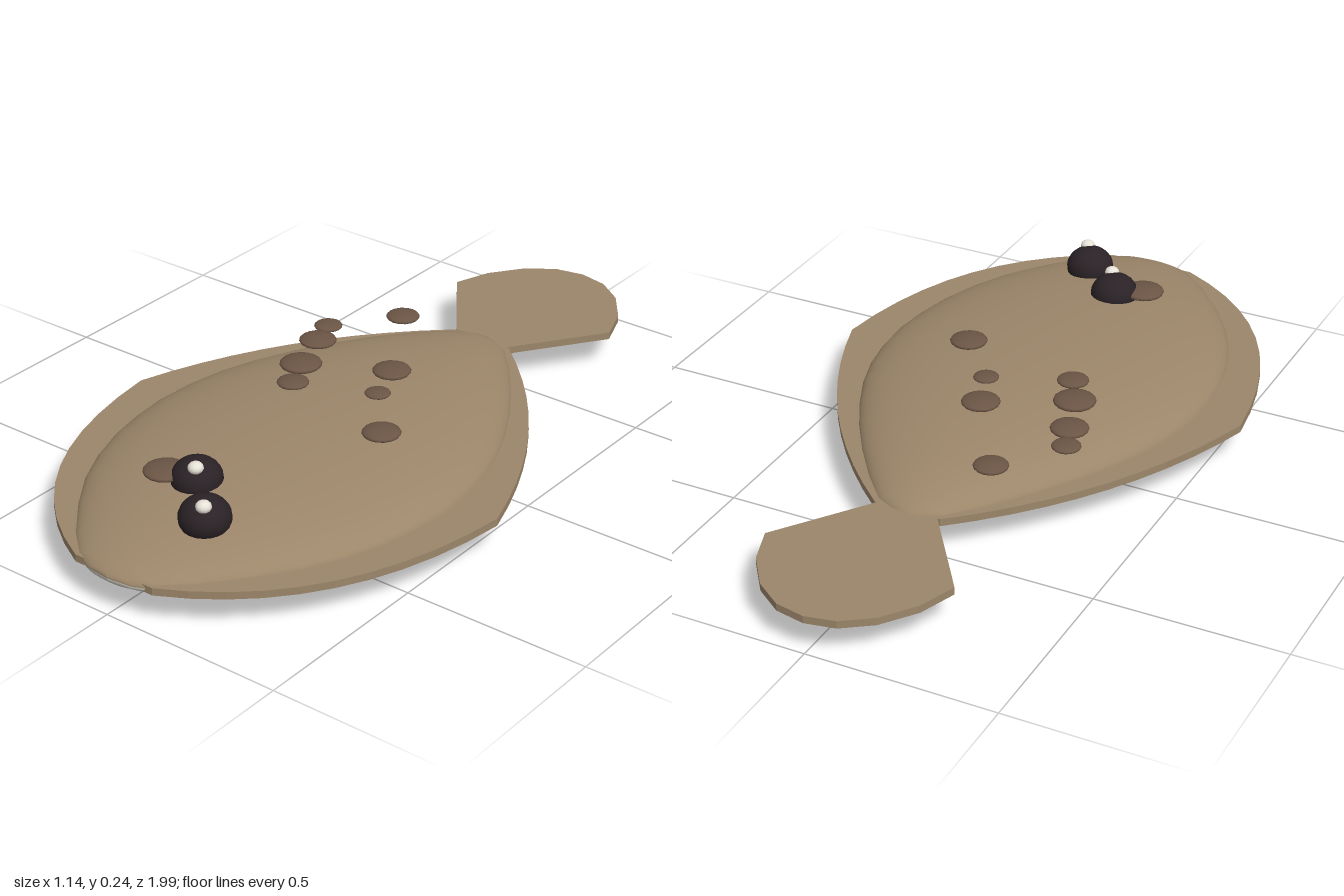
import * as THREE from 'three';

const mat = (name, color) => {
  const m = new THREE.MeshStandardMaterial({ color });
  m.name = name;
  return m;
};

// Half widths of the body along z, tail end to nose
const SECTIONS = [
  [-0.52, 0], [-0.505, 0.05], [-0.48, 0.095], [-0.4, 0.165], [-0.3, 0.24], [-0.2, 0.305],
  [-0.1, 0.36], [0, 0.405], [0.1, 0.437], [0.2, 0.455], [0.3, 0.46], [0.4, 0.45],
  [0.5, 0.43], [0.6, 0.395], [0.7, 0.345], [0.8, 0.275], [0.9, 0.19], [0.96, 0.125], [0.985, 0.07], [0.993, 0],
];

// Half of a lens-shaped shell, swept through elliptical cross-sections
function shell(startAngle) {
  const n = 28, pos = [], idx = [];
  SECTIONS.forEach(([z, w], j) => {
    const u = (z - 0.237) / 0.757;
    const h = 0.096 * Math.sqrt(Math.max(0, 1 - u * u));
    for (let i = 0; i <= n; i++) {
      const a = startAngle + Math.PI * i / n;
      pos.push(w * Math.cos(a), 0.1 + h * Math.sin(a), z);
      if (j && i) {
        const d = j * (n + 1) + i, b = d - n - 1;
        idx.push(b - 1, b, d - 1, b, d, d - 1);
      }
    }
  });
  const g = new THREE.BufferGeometry();
  g.setAttribute('position', new THREE.Float32BufferAttribute(pos, 3));
  g.setIndex(idx);
  g.computeVertexNormals();
  return g;
}

// Flat horizontal plate from an outline drawn in x and z
function plate(points) {
  const g = new THREE.ExtrudeGeometry(new THREE.Shape(points), { depth: 0.02, bevelEnabled: false });
  return g.rotateX(Math.PI / 2).translate(0, 0.11, 0);
}

const v = (x, z) => new THREE.Vector2(x, z);
const mirrored = (pts) => [...pts, ...pts.slice().reverse().filter(p => p.x > 0).map(p => v(-p.x, p.y))];

export function createModel() {
  const model = new THREE.Group();
  const skin = mat('sandy brown', 0x9c866a);
  const belly = mat('pale belly', 0xd6d4ca);
  const spot = mat('dark brown spots', 0x6b5545);
  const eye = mat('dark eye', 0x2a2226);
  const shine = mat('eye shine', 0xe8e4da);
  const add = (name, geo, material, x = 0, y = 0, z = 0) => {
    const m = new THREE.Mesh(geo, material);
    m.name = name;
    m.position.set(x, y, z);
    model.add(m);
    return m;
  };

  // Domed back and pale underside
  add('back', shell(0), skin);
  add('belly', shell(Math.PI), belly);

  // Fin skirt around the body
  const rear = new THREE.QuadraticBezierCurve(v(0.09, -0.5), v(0.44, -0.2), v(0.572, 0.24));
  const fore = new THREE.QuadraticBezierCurve(v(0.572, 0.24), v(0.52, 0.78), v(0.12, 0.972));
  add('finSkirt', plate(mirrored([...rear.getPoints(10), ...fore.getPoints(10).slice(1)])), skin);

  // Tail fan
  add('tailFin', plate(mirrored([
    v(0, -1), v(0.08, -0.984), v(0.155, -0.931), v(0.22, -0.843), v(0.256, -0.742), v(0.08, -0.495),
  ])), skin);

  // Spots scattered over the back
  [[-0.15, -0.345, 0.045], [-0.275, -0.18, 0.038], [-0.245, -0.098, 0.05], [0.013, -0.08, 0.051],
    [-0.198, 0.032, 0.056], [0.058, 0.039, 0.034], [-0.15, 0.124, 0.042], [0.188, 0.194, 0.05],
    [-0.112, 0.658, 0.056]].forEach(([x, z, r]) => {
    add('spot', new THREE.SphereGeometry(r, 16, 10), spot, x, 0.195, z).scale.y = 0.25;
  });

  // Both eyes sit on the upper side, each with a small highlight
  [[-0.038, 0.628, 0.186], [0.092, 0.75, 0.184]].forEach(([x, z, y]) => {
    add('eye', new THREE.SphereGeometry(0.065, 20, 14), eye, x, y, z).scale.y = 0.85;
    add('eyeShine', new THREE.SphereGeometry(0.02, 12, 8), shine, x + 0.02, y + 0.047, z + 0.026).scale.y = 0.8;
  });

  return model;
}
